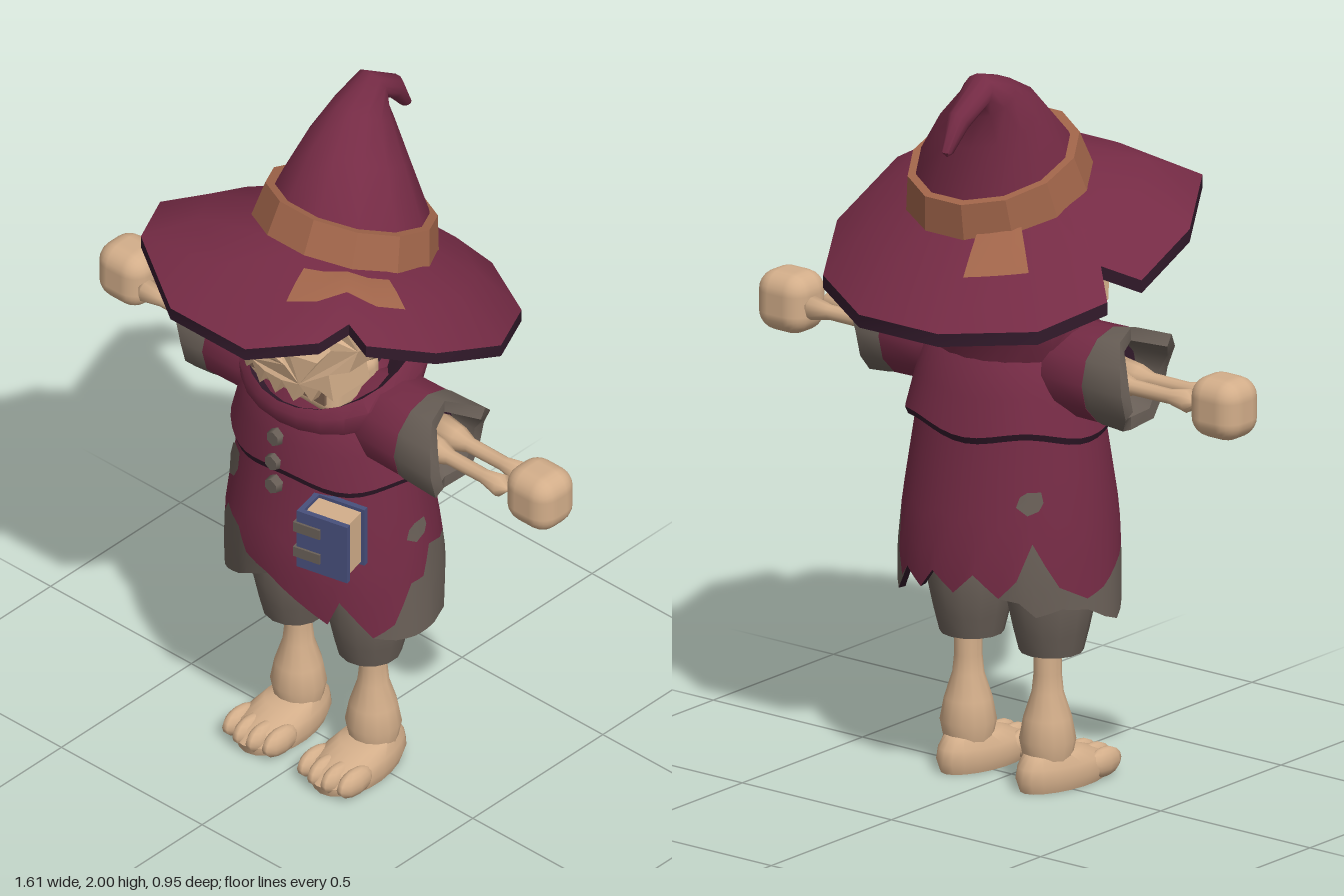
import * as THREE from 'three';
import { toCreasedNormals } from 'three/addons/utils/BufferGeometryUtils.js';
import { RoundedBoxGeometry } from 'three/addons/geometries/RoundedBoxGeometry.js';

const V = (x, y, z) => new THREE.Vector3(x, y, z);
const rad = THREE.MathUtils.degToRad;
const lerp = THREE.MathUtils.lerp;
const material = (name, color) => Object.assign(new THREE.MeshStandardMaterial({ color }), { name });

// Surface through rows of points; rows run bottom to top, points from +z towards +x
function loft(rows, closed = true, crease = 0.7) {
  const n = rows[0].length, idx = [];
  for (let i = 0; i < rows.length - 1; i++) {
    for (let j = 0; j < (closed ? n : n - 1); j++) {
      const k = (j + 1) % n, a = i * n + j, b = i * n + k;
      idx.push(a, b, b + n, a, b + n, a + n);
    }
  }
  const g = new THREE.BufferGeometry();
  g.setAttribute('position', new THREE.Float32BufferAttribute(rows.flat().flatMap(p => [p.x, p.y, p.z]), 3));
  g.setIndex(idx);
  return toCreasedNormals(g, crease);
}
const angles = n => Array.from({ length: n }, (_, i) => i / n * Math.PI * 2);
// Ring around centre c, tilted so that its axis is (0, ny, nz)
function ring(c, r, ny, nz, as) {
  const l = Math.hypot(ny, nz);
  return as.map(a => V(c[0] + r * Math.sin(a), c[1] - r * Math.cos(a) * nz / l, c[2] + r * Math.cos(a) * ny / l));
}
// Level oval with separate front and back depth
const oval = (a, y, rx, zf, zb) => V(rx * Math.sin(a), y, Math.cos(a) * (Math.cos(a) > 0 ? zf : zb));
// Linear lookup in a table sorted by its first column
function lookup(table, t) {
  let i = 0;
  while (i < table.length - 2 && t > table[i + 1][0]) i++;
  const f = THREE.MathUtils.clamp((t - table[i][0]) / (table[i + 1][0] - table[i][0]), 0, 1);
  return table[i].map((v, k) => lerp(v, table[i + 1][k], f));
}

export function createModel() {
  const cloth = material('maroon cloth', 0x752b45), lining = material('dark lining', 0x321a2b);
  const grey = material('grey cloth', 0x695f57), bone = material('bone', 0xd3ae8a);
  const leather = material('orange leather', 0xa1654a), blue = material('blue cover', 0x48507c);
  const hollow = material('skull hollow', 0x7d6250);
  const root = new THREE.Group();
  const add = (name, geo, mat, parent = root, pos = [0, 0, 0]) => {
    const m = new THREE.Mesh(geo, mat);
    m.name = name;
    m.position.set(...pos);
    parent.add(m);
    return m;
  };

  // Hat brim: torn rim outline, joined to a tilted ring under the crown
  const rim = [[.125, 1.555, .47], [.29, 1.6, .365], [.3, 1.61, .26], [.38, 1.59, .28], [.48, 1.53, .12], [.48, 1.42, -.13],
    [.35, 1.35, -.35], [.125, 1.32, -.48], [-.14, 1.32, -.48], [-.37, 1.34, -.35], [-.47, 1.4, -.185], [-.4, 1.47, -.125],
    [-.5, 1.44, -.08], [-.5, 1.53, .12], [-.37, 1.6, .335], [-.14, 1.555, .47]].map(p => V(...p));
  const rimAngles = rim.map(p => (Math.atan2(p.x, p.z + .06) + Math.PI * 2) % (Math.PI * 2));
  const lift = (pts, d) => pts.map(p => V(p.x, p.y + d, p.z));
  const inner = ring([0, 1.63, -.05], .24, 1, -.34, rimAngles);
  const rimTop = lift(rim, .035);
  const midTop = rimTop.map((p, i) => p.clone().lerp(inner[i], .5).add(V(0, .025, 0)));
  add('hatBrim', loft([rimTop, midTop, inner]), cloth);
  add('hatBrimUnderside', loft([lift(inner, -.03), lift(midTop, -.035), rim, rimTop]), lining);

  // Leather patches lying on the brim
  const rimTable = rim.map((p, i) => [rimAngles[i], p.x, p.y + .035, p.z]);
  const brimAt = (deg, t) => {
    const a = rad(deg), e = lookup(rimTable, a), i = ring([0, 1.63, -.05], .24, 1, -.34, [a])[0];
    return i.lerp(V(e[1], e[2], e[3]), t).add(V(0, .05 * Math.min(t, 1 - t) + .012, 0));
  };
  for (const [a0, a1, t0, t1] of [[20, 65, .2, .6], [203, 231, .03, .55]]) {
    const rows = [t1, (t0 + t1) / 2, t0].map(t => [0, .25, .5, .75, 1].map(f => brimAt(lerp(a0, a1, f), t)));
    add('hatPatch', loft(rows, false), leather);
  }

  // Crown bending backwards into a curled tip, with its band
  const a12 = angles(12).map(a => a + Math.PI / 12);
  const crown = [[0, 1.62, -.05, .235, 1, -.34], [0, 1.73, -.08, .205, 1, -.36], [-.03, 1.845, -.13, .142, 1, -.42],
    [-.065, 1.92, -.19, .085, 1, -.5], [-.09, 1.952, -.255, .05, .35, -1], [-.095, 1.895, -.34, .032, -.5, -.8],
    [-.095, 1.82, -.385, .016, -1, -.2], [-.095, 1.808, -.387, 0, -1, -.2]];
  add('hatCrown', loft(crown.map(([x, y, z, r, ny, nz]) => ring([x, y, z], r, ny, nz, a12)), true, 1), cloth);
  add('hatBand', loft([[1.625, -.05, .252], [1.72, -.075, .232], [1.72, -.075, .2]]
    .map(([y, z, r]) => ring([0, y, z], r, 1, -.36, a12)), true, .4), leather);

  // Skull: squarish cranium and a bent face plate with sockets and teeth
  const head = new THREE.Group();
  head.name = 'skull';
  root.add(head);
  const cranium = new THREE.SphereGeometry(1, 24, 16), cp = cranium.attributes.position;
  const sq = v => Math.sign(v) * Math.abs(v) ** .8;
  for (let i = 0; i < cp.count; i++) cp.setXYZ(i, sq(cp.getX(i)) * .225, sq(cp.getY(i)) * .2, sq(cp.getZ(i)) * .195);
  cranium.computeVertexNormals();
  add('cranium', cranium, bone, head, [0, 1.48, -.05]);
  const half = [[0, 1.6], [.17, 1.6], [.235, 1.55], [.24, 1.47], [.22, 1.4], [.17, 1.38], [.175, 1.29], [.14, 1.32],
    [.115, 1.27], [.085, 1.32], [.06, 1.25], [.03, 1.31], [0, 1.25]];
  const path2 = (C, pts) => new C(pts.map(p => new THREE.Vector2(...p)));
  const face = path2(THREE.Shape, [...half, ...half.slice(1, -1).reverse().map(([x, y]) => [-x, y])]);
  const socket = [[.03, 1.44], [.06, 1.41], [.14, 1.41], [.175, 1.46], [.165, 1.5], [.07, 1.47]];
  const nose = [[0, 1.45], [-.045, 1.37], [0, 1.385], [.045, 1.37]];
  for (const s of [1, -1]) face.holes.push(path2(THREE.Path, socket.map(([x, y]) => [x * s, y])));
  face.holes.push(path2(THREE.Path, nose));
  const plate = new THREE.ExtrudeGeometry(face, { depth: .14, bevelEnabled: false }), fp = plate.attributes.position;
  for (let i = 0; i < fp.count; i++) fp.setZ(i, fp.getZ(i) + .095 - 1.3 * fp.getX(i) ** 2 - Math.max(0, 1.36 - fp.getY(i)) * .15);
  plate.computeVertexNormals();
  add('face', plate, bone, head);
  add('noseHollow', new THREE.BoxGeometry(.11, .1, .008), hollow, head, [0, 1.41, .175]);
  add('jaw', new RoundedBoxGeometry(.32, .13, .2, 2, .04), bone, head, [0, 1.27, .07]);
  add('mouthHollow', new THREE.BoxGeometry(.27, .08, .008), hollow, head, [0, 1.29, .172]);
  for (const s of [1, -1]) add('eye', new THREE.SphereGeometry(.04, 12, 8), bone, head, [.1 * s, 1.453, .165]);

  // Cowl, low in front and high at the back
  const a24 = angles(24), back = a => (1 - Math.cos(a)) / 2;
  const cowl = (y, dy, rx, rz, dz) => a24.map(a => oval(a, y + dy * back(a), rx, rz, rz + dz));
  const fold = cowl(1.22, .2, .235, .21, .07);
  add('cowl', loft([cowl(1.12, .06, .22, .18, .01), cowl(1.16, .1, .26, .215, .0), cowl(1.2, .15, .265, .22, .05), fold]), cloth);
  add('cowlInside', loft([fold, cowl(1.2, .18, .2, .18, .06), cowl(1.16, .1, .12, .12, .03), cowl(1.15, .1, 0, 0, 0)]), lining);

  // Short cape with a wavy edge
  const a48 = angles(48);
  const capeRow = (y, rx, zf, zb, w = 0) => a48.map(a => oval(a, y + w * Math.sin(5 * a + 1), rx, zf, zb));
  add('cape', loft([capeRow(1.005, .295, .225, .25, .012), capeRow(1.1, .27, .215, .225, .006),
    capeRow(1.2, .24, .19, .19), capeRow(1.28, .14, .13, .13)]), cloth);
  add('capeEdge', loft([capeRow(1.0, .24, .19, .19), capeRow(.987, .288, .22, .243, .012), capeRow(1.006, .296, .226, .251, .012)]), lining);

  // Robe: columns of [angle, hem height, top of the grey cloth]
  const columns = [[0, .68, .68], [16, .63, .63], [32, .57, .57], [40, .65, .65], [56, .535, .535], [70, .52, .57], [84, .515, .68],
    [94, .515, .68], [102, .515, .76], [134, .51, .7], [142, .55, .56], [150, .6, .6], [162, .56, .56], [172, .62, .62],
    [184, .57, .57], [196, .63, .63], [208, .57, .57], [218, .56, .62], [226, .52, .72], [240, .54, .6], [256, .53, .56],
    [268, .5, .58], [282, .48, .62], [300, .51, .66], [318, .55, .775], [336, .6, .76], [344, .63, .7], [360, .68, .68]];
  const cols = columns.slice(0, -1).flatMap((c, i) => [c, c.map((v, k) => (v + columns[i + 1][k]) / 2)]);
  const sizes = [[.45, .325, .215, .255], [.63, .312, .245, .28], [.75, .302, .25, .262], [1.03, .262, .205, .215]];
  const robeAt = (deg, y, s = 1) => {
    const [, rx, zf, zb] = lookup(sizes, y);
    return oval(rad(deg), y, rx * s, zf * s, zb * s);
  };
  const robeRow = (fn, s) => cols.map(c => robeAt(c[0], fn(c), s));
  add('robe', loft([0, .2, .4, .7, 1].map(f => robeRow(c => lerp(c[2], 1.03, f)))), cloth);
  add('robeGreyHem', loft([0, .5, 1].map(f => robeRow(c => lerp(c[1], c[2], f)))), grey);
  add('robeLining', loft([robeRow(() => .85, .93), robeRow(c => c[1] + .005, .94), robeRow(c => c[1])]), lining);

  // Grey patches on the robe: [angle, height, half width in degrees, half height]
  for (const [a, y, w, h] of [[-43, .91, 13, .055], [92, .83, 11, .032], [225, .83, 9, .035]]) {
    const edge = angles(7).map((t, i) => robeAt(a + w * Math.cos(t) * (i % 3 ? 1 : .75), y + h * Math.sin(t) * (i % 2 ? 1 : .8), 1.025));
    add('robePatch', loft([edge, edge.map(() => robeAt(a, y, 1.025))]), grey);
  }

  // Buttons
  for (const [y, z] of [[1.105, .215], [1.03, .222], [.955, .222]]) {
    const b = add('button', new THREE.CylinderGeometry(.022, .028, .03, 6), grey, root, [0, y, z]);
    b.rotation.x = Math.PI / 2;
  }

  // Book hanging on the robe
  const book = new THREE.Group();
  book.name = 'book';
  book.position.set(.2, .88, .215);
  book.rotation.y = .22;
  root.add(book);
  for (const z of [-.045, .045]) add('bookCover', new THREE.BoxGeometry(.15, .18, .015), blue, book, [0, 0, z]);
  add('bookSpine', new THREE.BoxGeometry(.015, .18, .105), blue, book, [-.07, 0, 0]);
  add('bookPages', new THREE.BoxGeometry(.13, .16, .075), bone, book);
  for (const y of [-.04, .04]) add('bookStrap', new THREE.BoxGeometry(.08, .03, .118), grey, book, [-.045, y, 0]);

  // Arms and legs, mirrored
  const cuffEnds = [.41, .45, .48, .4, .42, .46, .48, .48, .43, .4, .42, .41];
  for (const s of [1, -1]) {
    const arm = new THREE.Group();
    arm.name = s > 0 ? 'leftArm' : 'rightArm';
    root.add(arm);
    // Rings around the x axis; order of the points follows the side
    const tube = rows => loft(rows.map(([x, r]) => angles(12).map((a, i) =>
      V(s * (x ?? cuffEnds[i]), 1.165 + r * Math.sin(a), -s * r * Math.cos(a)))));
    add('sleeve', tube([[.1, .1], [.22, .13], [.34, .132], [.345, .1]]), cloth, arm);
    add('cuff', tube([[.31, .125], [.36, .135], [null, .14], [null, .105], [.34, .09]]), grey, arm);
    add('sleeveInside', tube([[.345, .1], [.34, 0]]), lining, arm);
    for (const z of [-.045, .03]) {
      const g = new THREE.LatheGeometry([[0, 0], [.045, .01], [.035, .08], [.021, .12], [.02, .24], [.032, .3], [0, .33]]
        .map(p => new THREE.Vector2(...p)), 10);
      const f = add('forearmBone', g, bone, arm, [.33 * s, 1.162, z]);
      f.rotation.z = -s * Math.PI / 2;
    }
    add('hand', new RoundedBoxGeometry(.16, .165, .145, 3, .055), bone, arm, [.725 * s, 1.16, -.015]);

    const leg = new THREE.Group();
    leg.name = s > 0 ? 'leftLeg' : 'rightLeg';
    leg.position.x = .133 * s;
    root.add(leg);
    const lathe = pts => toCreasedNormals(new THREE.LatheGeometry(pts.map(p => new THREE.Vector2(...p)), 14), .8);
    add('trouserLeg', lathe([[.04, .375], [.085, .37], [.1, .43], [.115, .5], [.115, .58], [.09, .72]]), grey, leg);
    add('shin', lathe([[0, .06], [.065, .08], [.075, .13], [.064, .19], [.042, .26], [.037, .31], [.037, .4]]), bone, leg, [0, 0, -.015]);
    const sole = (y, k, zc, len) => angles(20).map(a => V(k * (.085 + .012 * Math.cos(a)) * Math.sin(a), y, zc + len * Math.cos(a)));
    add('foot', loft([sole(0, 0, .04, 0), sole(0, .94, .04, .15), sole(.03, 1.06, .04, .162), sole(.065, .98, .03, .145),
      sole(.095, .75, .0, .09), sole(.105, 0, -.01, 0)], true, .9), bone, leg);
    for (let i = 0; i < 4; i++) {
      const t = add('toe', new THREE.SphereGeometry(1, 10, 8), bone, leg, [(i - 1.5) * .047, .042, .15 - .012 * Math.abs(i - 1.5)]);
      t.scale.set(.027, .04, .065);
    }
  }
  const hips = add('hips', new THREE.SphereGeometry(1, 16, 10), grey, root, [0, .68, 0]);
  hips.scale.set(.24, .12, .16);
  return root;
}
